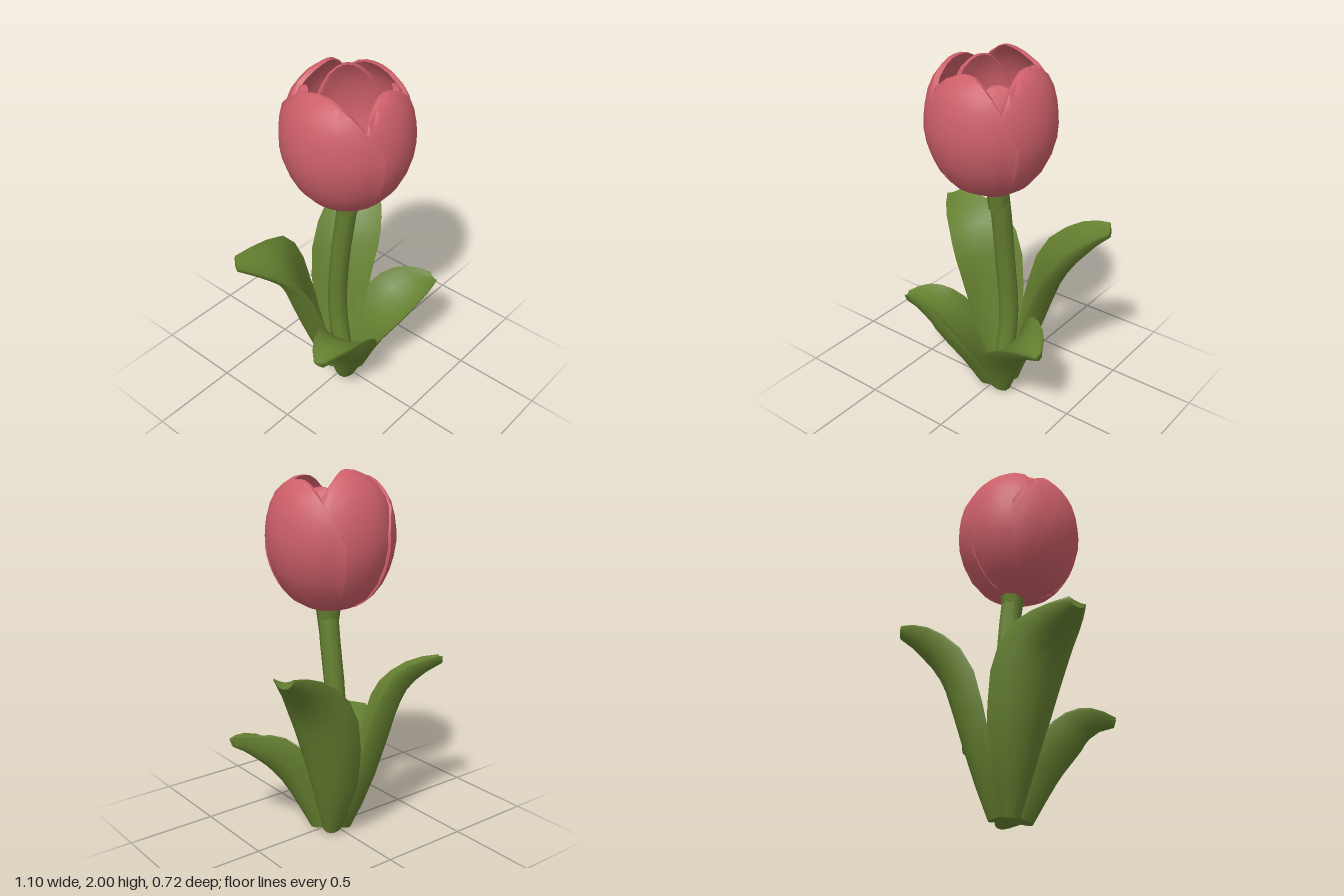
import * as THREE from 'three';
import { toCreasedNormals } from 'three/addons/utils/BufferGeometryUtils.js';

const V = (x, y, z) => new THREE.Vector3(x, y, z);

// Closed body between an outer and an inner surface, each a function of (u, v) in 0..1
function shell(outer, inner, nu, nv) {
  const pos = [], index = [], ring = 2 * (nu + 1);
  for (let r = 0; r <= nv; r++) {
    for (let i = 0; i <= nu; i++) pos.push(...outer(i / nu, r / nv).toArray());
    for (let i = nu; i >= 0; i--) pos.push(...inner(i / nu, r / nv).toArray());
  }
  for (let r = 0; r < nv; r++) {
    for (let j = 0; j < ring; j++) {
      const a = r * ring + j, b = r * ring + (j + 1) % ring;
      index.push(a, b, b + ring, a, b + ring, a + ring);
    }
  }
  // strips closing the bottom and top ends
  const top = nv * ring;
  for (let i = 0; i < nu; i++) {
    const k = ring - 1 - i;
    index.push(i, k, k - 1, i, k - 1, i + 1);
    index.push(top + i, top + i + 1, top + k - 1, top + i, top + k - 1, top + k);
  }
  const geo = new THREE.BufferGeometry();
  geo.setAttribute('position', new THREE.Float32BufferAttribute(pos, 3));
  geo.setIndex(index);
  return toCreasedNormals(geo, 1.1);
}

// Fleshy leaf spanning two edge curves, its outer side bowed away from the stem
function leafGeometry(edgeA, edgeB, bowMax) {
  const a = new THREE.CatmullRomCurve3(edgeA.map(p => V(...p)));
  const b = new THREE.CatmullRomCurve3(edgeB.map(p => V(...p)));
  const at = (u, v, inner) => {
    const pa = a.getPoint(v), pb = b.getPoint(v);
    const along = a.getTangent(v).add(b.getTangent(v));
    const normal = pb.clone().sub(pa).cross(along).normalize();
    const arch = Math.pow(4 * u * (1 - u), 0.7);
    const bow = bowMax * Math.sin(Math.PI * (0.18 + 0.74 * v)) * arch;
    const p = pa.lerp(pb, u).addScaledVector(normal, inner ? bow * 0.3 - 0.012 : bow);
    p.y = Math.max(p.y, 0);
    return p;
  };
  return shell((u, v) => at(u, v, false), (u, v) => at(u, v, true), 6, 9);
}

// Half profile of the bloom: radius, height
const profile = new THREE.CatmullRomCurve3([
  V(0.04, 1.255, 0), V(0.18, 1.3, 0), V(0.285, 1.42, 0), V(0.338, 1.58, 0),
  V(0.338, 1.7, 0), V(0.308, 1.83, 0), V(0.24, 1.93, 0), V(0.15, 2.0, 0),
]);

// Petal wrapped around the bloom, highest in its middle
function petalGeometry({ angle, half, tip, edge, scale }) {
  const at = (u, v, depth) => {
    const s = u * 2 - 1;
    const p = profile.getPoint(v * (tip - (tip - edge) * Math.pow(Math.abs(s), 2.4)));
    const r = Math.max(p.x * scale - depth, 0.005), t = angle + s * half;
    const lift = depth * Math.max(0, 1 - v * 2);
    return V(r * Math.sin(t) - 0.008, p.y + lift, r * Math.cos(t) + 0.026);
  };
  const thick = v => 0.05 - 0.022 * v;
  return shell((u, v) => at(u, v, 0), (u, v) => at(u, v, thick(v)), 10, 10);
}

export function createModel() {
  const pink = new THREE.MeshStandardMaterial({ color: 0xcd5f69 });
  pink.name = 'petalPink';
  const green = new THREE.MeshStandardMaterial({ color: 0x658030 });
  green.name = 'leafGreen';
  const model = new THREE.Group();
  model.name = 'tulip';
  const add = (name, geo, mat) => {
    const mesh = new THREE.Mesh(geo, mat);
    mesh.name = name;
    model.add(mesh);
    return mesh;
  };

  // Stem, leaning forward towards the bloom
  const stemPath = new THREE.CatmullRomCurve3([
    V(0.02, 0.04, -0.02), V(0.03, 0.4, -0.08), V(0.022, 0.8, -0.055),
    V(0.025, 1.1, -0.014), V(0.02, 1.3, 0.015),
  ]);
  add('stem', new THREE.TubeGeometry(stemPath, 12, 0.055, 8), green);
  add('stemCollar', new THREE.CylinderGeometry(0.07, 0.05, 0.15, 8), green).position.set(0.02, 1.22, 0.008);

  // Rounded foot where the leaves meet
  const foot = add('foot', new THREE.SphereGeometry(1, 12, 8), green);
  foot.scale.set(0.075, 0.06, 0.1);
  foot.position.set(0.02, 0.06, -0.01);

  // Two tall leaves at the back
  add('backLeftLeaf', leafGeometry(
    [[0.08, 0.03, -0.01], [0.16, 0.34, 0.0], [0.25, 0.63, 0.0], [0.32, 0.8, -0.01], [0.39, 0.92, -0.06], [0.49, 1.01, -0.16], [0.545, 1.035, -0.26]],
    [[0.0, 0.03, -0.1], [0.0, 0.24, -0.2], [0.03, 0.55, -0.28], [0.1, 0.8, -0.315], [0.24, 0.95, -0.335], [0.38, 1.03, -0.35], [0.5, 1.055, -0.35]],
    0.13), green);
  add('backRightLeaf', leafGeometry(
    [[0.03, 0.03, -0.1], [0.03, 0.24, -0.2], [-0.01, 0.55, -0.27], [-0.06, 0.78, -0.3], [-0.17, 0.93, -0.31], [-0.34, 0.97, -0.32], [-0.5, 0.975, -0.33]],
    [[-0.04, 0.03, -0.01], [-0.15, 0.34, 0.0], [-0.25, 0.62, 0.0], [-0.31, 0.76, -0.01], [-0.38, 0.85, -0.06], [-0.47, 0.92, -0.14], [-0.55, 0.955, -0.25]],
    0.13), green);

  // Two short leaves at the front
  add('frontLeftLeaf', leafGeometry(
    [[0.01, 0.03, 0.08], [0.04, 0.19, 0.15], [0.08, 0.33, 0.23], [0.18, 0.44, 0.29], [0.29, 0.51, 0.315], [0.4, 0.54, 0.315], [0.475, 0.535, 0.295]],
    [[0.07, 0.03, -0.05], [0.12, 0.25, -0.05], [0.18, 0.43, -0.03], [0.26, 0.555, 0.02], [0.35, 0.595, 0.08], [0.43, 0.585, 0.15], [0.483, 0.56, 0.24]],
    0.155), green);
  add('frontRightLeaf', leafGeometry(
    [[-0.04, 0.03, -0.05], [-0.11, 0.24, -0.05], [-0.18, 0.42, -0.03], [-0.25, 0.53, 0.04], [-0.33, 0.57, 0.09], [-0.41, 0.56, 0.13], [-0.475, 0.525, 0.2]],
    [[0.03, 0.03, 0.08], [0.02, 0.19, 0.16], [-0.01, 0.33, 0.24], [-0.08, 0.45, 0.29], [-0.18, 0.54, 0.315], [-0.31, 0.57, 0.315], [-0.45, 0.54, 0.26]],
    0.155), green);

  // Bloom: four overlapping outer petals and smaller inner ones in the gaps
  const petals = {
    frontPetal: { angle: 0.07, half: 0.98, tip: 0.87, edge: 0.45, scale: 0.995 },
    backPetal: { angle: Math.PI, half: 1.15, tip: 0.99, edge: 0.5, scale: 0.96 },
    leftPetal: { angle: Math.PI / 2 + 0.05, half: 1.1, tip: 0.89, edge: 0.5, scale: 0.985 },
    rightPetal: { angle: -Math.PI / 2 + 0.06, half: 1.2, tip: 0.88, edge: 0.55, scale: 1.0 },
    innerFrontPetal: { angle: Math.PI / 4, half: 0.7, tip: 0.81, edge: 0.5, scale: 0.9 },
    innerLeftPetal: { angle: Math.PI * 0.72, half: 0.7, tip: 0.84, edge: 0.5, scale: 0.88 },
    innerRightPetal: { angle: -Math.PI * 0.72, half: 0.7, tip: 0.84, edge: 0.5, scale: 0.88 },
  };
  for (const [name, spec] of Object.entries(petals)) add(name, petalGeometry(spec), pink);

  // Floor inside the cup
  const floor = [[0.26, 1.5], [0.2, 1.42], [0.12, 1.38], [0, 1.37]].map(p => new THREE.Vector2(...p));
  add('bloomFloor', new THREE.LatheGeometry(floor, 16), pink).position.set(-0.008, 0, 0.026);
  return model;
}
